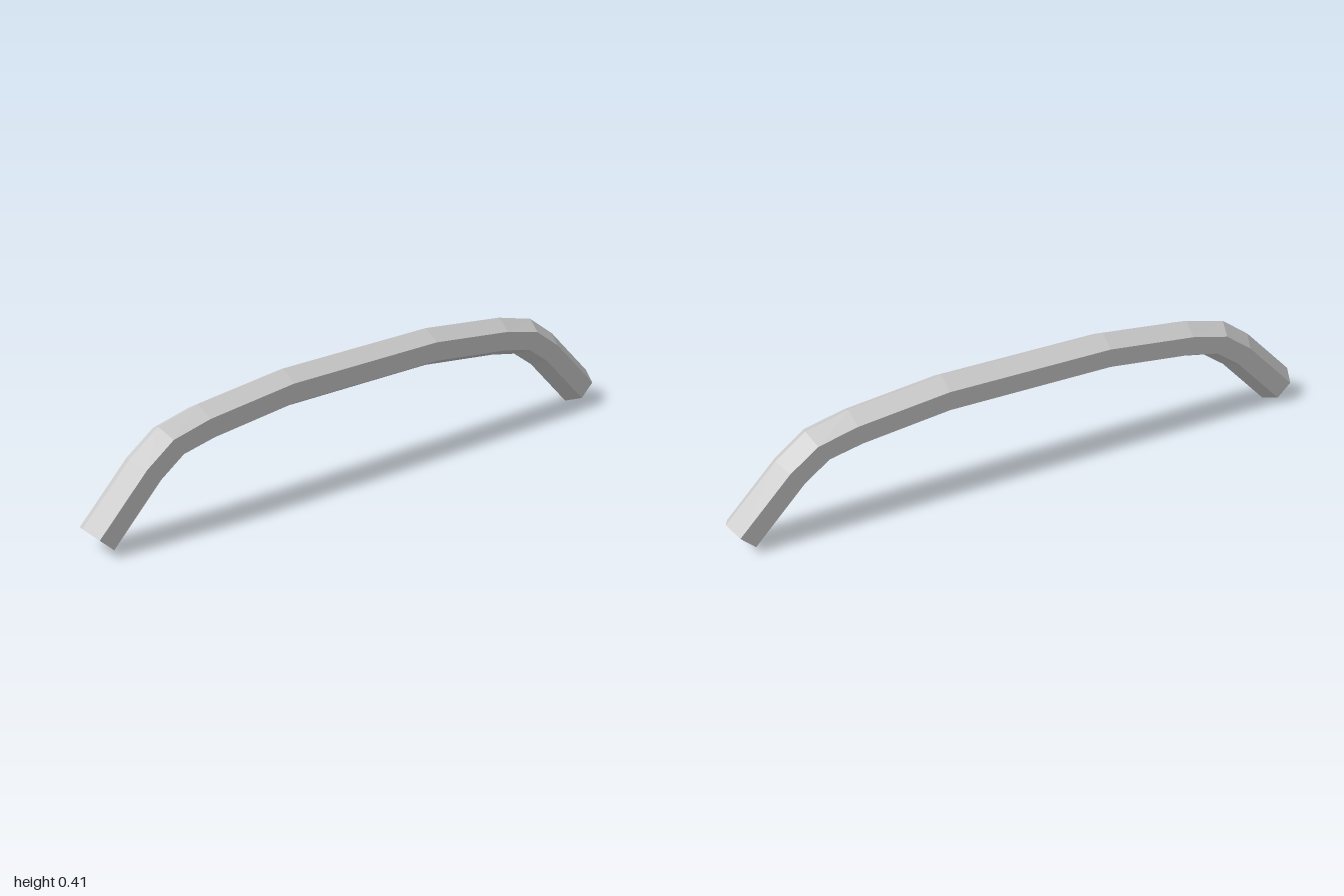
import * as THREE from 'three';

// Half of the bent bar: [outer z, outer y, inner z, inner y], from middle to tip
const HALF = [
  [0.28, 0.413, 0.28, 0.287],
  [0.59, 0.377, 0.565, 0.253],
  [0.73, 0.341, 0.663, 0.233],
  [0.83, 0.267, 0.74, 0.177],
  [1.0, 0.091, 0.907, 0.001],
];
const HALF_WIDTH = 0.056;

// Hexagon corners: [side, fraction from outer ridge to inner ridge]
const HEX = [[0, 0], [1, 0.25], [1, 0.75], [0, 1], [-1, 0.75], [-1, 0.25]];

function barGeometry() {
  // Sections run from the front tip to the mirrored back tip
  const back = HALF.map(([oz, oy, iz, iy]) => [-oz, oy, -iz, iy]);
  const sections = [...[...HALF].reverse(), ...back];
  const positions = [];
  const index = [];
  for (const [oz, oy, iz, iy] of sections) {
    for (const [side, t] of HEX) {
      positions.push(side * HALF_WIDTH, oy + (iy - oy) * t, oz + (iz - oz) * t);
    }
  }
  // Side faces
  const n = HEX.length;
  for (let i = 0; i < sections.length - 1; i++) {
    for (let j = 0; j < n; j++) {
      const k = (j + 1) % n;
      const a = i * n + j, b = i * n + k;
      index.push(a, b, a + n, b, b + n, a + n);
    }
  }
  // End caps
  const last = (sections.length - 1) * n;
  for (let j = 1; j < n - 1; j++) {
    index.push(0, j + 1, j, last, last + j, last + j + 1);
  }
  const indexed = new THREE.BufferGeometry();
  indexed.setAttribute('position', new THREE.Float32BufferAttribute(positions, 3));
  indexed.setIndex(index);
  const geometry = indexed.toNonIndexed();
  geometry.computeVertexNormals();
  return geometry;
}

export function createModel() {
  const group = new THREE.Group();
  group.name = 'handle';
  const metal = new THREE.MeshStandardMaterial({ color: 0xcccccc, flatShading: true });
  metal.name = 'light grey metal';
  const bar = new THREE.Mesh(barGeometry(), metal);
  bar.name = 'handleBar';
  group.add(bar);
  return group;
}
